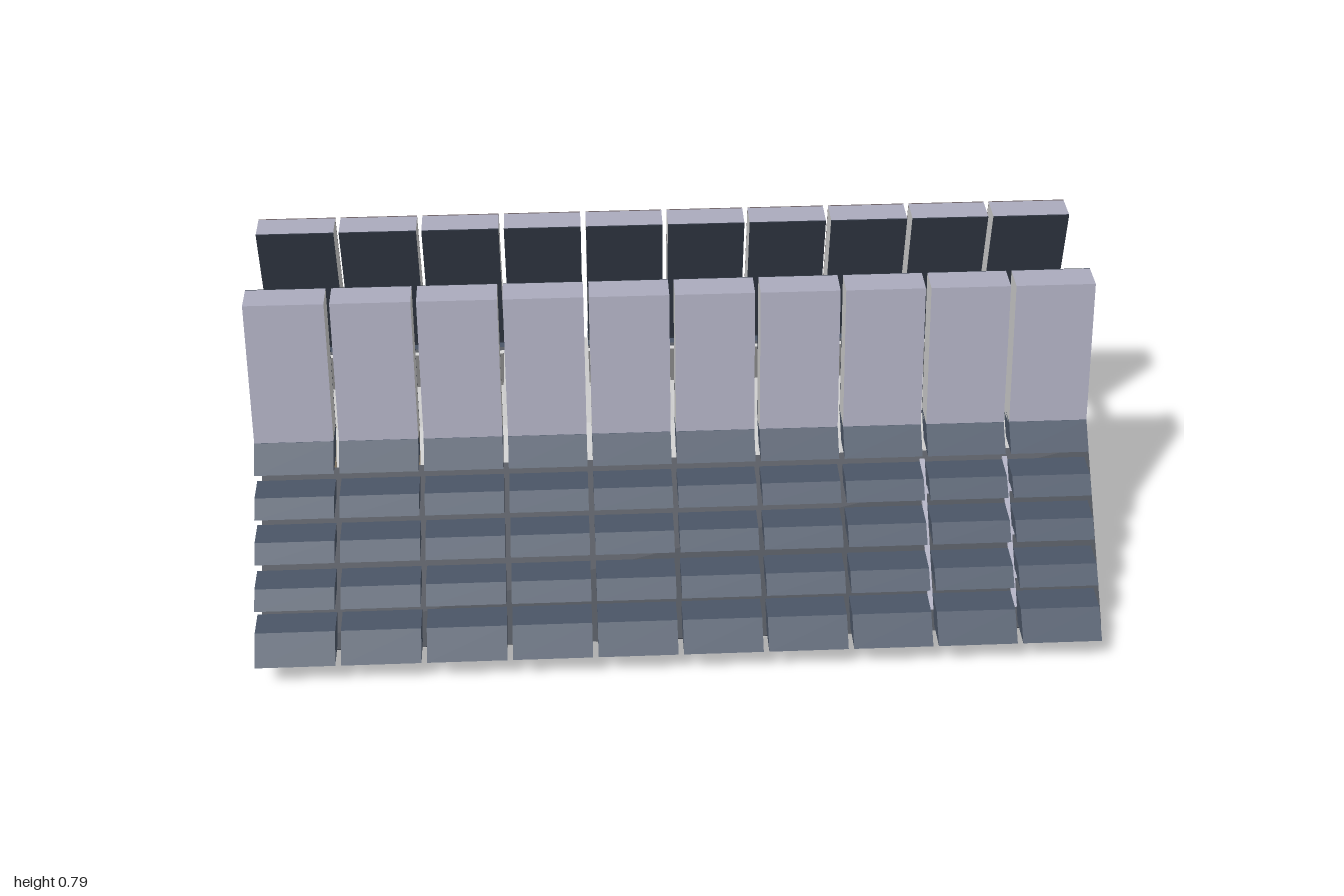
import * as THREE from 'three';

const mat = (name, color, side = THREE.FrontSide) => {
  const m = new THREE.MeshStandardMaterial({ color, side });
  m.name = name;
  return m;
};

export function createModel() {
  const slate = mat('slate', 0x4a5566);
  const dark = mat('dark slate', 0x2f3641);
  const pale = mat('pale grey', 0xcacaca);
  const lavender = mat('lavender grey', 0xaaaabc);
  const brown = mat('warm grey', 0x6a6064);
  const olive = mat('olive brown', 0x7a7060, THREE.DoubleSide);

  const model = new THREE.Group();
  const add = (name, geometry, material, parent = model) => {
    const mesh = new THREE.Mesh(geometry, material);
    mesh.name = name;
    parent.add(mesh);
    return mesh;
  };

  // Prism along x from a (z, y) profile; s = 1 front side, -1 back side
  const prism = (points, x0, x1, s = 1, holes = []) => {
    const shape = new THREE.Shape(points.map(([z, y]) => new THREE.Vector2(-z * s, y)));
    shape.holes = holes;
    const g = new THREE.ExtrudeGeometry(shape, { depth: x1 - x0, bevelEnabled: false, curveSegments: 6 });
    return g.rotateY(Math.PI / 2).translate(x0, 0, 0);
  };

  // Thin plate lying along the profile line p-q, t thick to its right side
  const plate = (p, q, t, x0, x1, s) => {
    const dz = q[0] - p[0], dy = q[1] - p[1], l = Math.hypot(dz, dy);
    const nz = (dy / l) * t, ny = (-dz / l) * t;
    return prism([p, q, [q[0] + nz, q[1] + ny], [p[0] + nz, p[1] + ny]], x0, x1, s);
  };

  const wallProfile = [[0.26, 0.44], [0.2, 0.79], [0.13, 0.79], [0.19, 0.43]];
  const slats = [
    [[0.315, 0.39], [0.26, 0.445], [0.19, 0.445], [0.19, 0.435], [0.24, 0.39]],
    [[0.39, 0.315], [0.35, 0.35], [0.28, 0.35], [0.28, 0.34], [0.31, 0.315]],
    [[0.465, 0.24], [0.425, 0.275], [0.355, 0.275], [0.355, 0.262], [0.385, 0.24]],
    [[0.545, 0.165], [0.505, 0.2], [0.435, 0.2], [0.435, 0.19], [0.465, 0.165]],
    [[0.635, 0.07], [0.575, 0.125], [0.505, 0.125], [0.505, 0.11], [0.55, 0.07]],
  ];
  const slopeTop = [0.25, 0.36], slopeFoot = [0.56, 0.055];

  for (const s of [1, -1]) {
    const side = new THREE.Group();
    side.name = s > 0 ? 'frontSide' : 'backSide';
    model.add(side);

    // Upright wall panels and rows of slats, ten bays long
    for (let i = 0; i < 10; i++) {
      const x0 = -1 + i * 0.2, x1 = x0 + 0.187;
      add('wallPanel', prism(wallProfile, x0, x1, s), [pale, lavender], side);
      if (s < 0) add('outerWallFace', plate(wallProfile[0], wallProfile[1], 0.003, x0, x1, s), brown, side);
      add('innerWallFace', plate(wallProfile[2], wallProfile[3], 0.003, x0, x1, s), dark, side);
      slats.forEach((p) => add('slat', prism(p, x0, x1, s), slate, side));
    }

    // Sloped backing, dark outside and pale inside
    add('slopeOuterSheet', plate(slopeFoot, slopeTop, 0.008, -0.99, 1, s), dark, side);
    add('slopeInnerSheet', plate(slopeTop, slopeFoot, 0.008, -0.99, 1, s), pale, side);

    // Pale streaks between the slats near one end
    [[0.32, 0.291, 0.58, 0.85], [0.395, 0.217, 0.62, 0.93], [0.47, 0.144, 0.77, 0.95]].forEach(([z, y, a, b]) =>
      add('slopeStreak', plate([z + 0.014, y + 0.002], [z, y + 0.016], 0.006, a, b, s), lavender, side));
    // Rafters showing in the last gaps
    for (const x of [0.587, 0.787])
      add('rafter', plate([0.53, 0.094], [0.27, 0.35], 0.011, x, x + 0.012, s), lavender, side);
  }

  // Pierced cross beams, one at every gap
  const beamProfile = [
    [0.25, 0.35], [0.19, 0.43], [-0.19, 0.43], [-0.25, 0.35], [-0.2, 0.36], [0.2, 0.36],
  ];
  const slots = [-0.145, -0.09, -0.03, 0.03, 0.09, 0.145].map((c, i) => {
    const w = i === 0 || i === 5 ? 0.018 : 0.025, h = 0.017, r = 0.009;
    const p = new THREE.Path();
    p.moveTo(c - w + r, 0.393 - h);
    p.lineTo(c + w - r, 0.393 - h);
    p.quadraticCurveTo(c + w, 0.393 - h, c + w, 0.393 - h + r);
    p.lineTo(c + w, 0.393 + h - r);
    p.quadraticCurveTo(c + w, 0.393 + h, c + w - r, 0.393 + h);
    p.lineTo(c - w + r, 0.393 + h);
    p.quadraticCurveTo(c - w, 0.393 + h, c - w, 0.393 + h - r);
    p.lineTo(c - w, 0.393 - h + r);
    p.quadraticCurveTo(c - w, 0.393 - h, c - w + r, 0.393 - h);
    return p;
  });
  for (let i = 0; i < 10; i++) {
    const x = -0.813 + i * 0.2;
    add('crossBeam', prism(beamProfile, x, x + 0.012, 1, slots), pale);
  }

  // Shallow curved floor sheet: half-width may vary along x
  const arcSheet = (x0, x1, half, lift, down) => {
    const g = new THREE.PlaneGeometry(x1 - x0, 2, 12, 16).rotateX(down ? Math.PI / 2 : -Math.PI / 2);
    g.translate((x0 + x1) / 2, 0, 0);
    const p = g.attributes.position;
    for (let i = 0; i < p.count; i++) {
      const z = p.getZ(i) * half(p.getX(i));
      p.setXYZ(i, p.getX(i), lift + 0.05 * (z / 0.56) ** 2, z);
    }
    g.computeVertexNormals();
    return g;
  };
  add('floorTop', arcSheet(-0.99, 1, () => 0.56, 0.004, false), pale);
  add('floorUnderside', arcSheet(-0.99, 1, () => 0.56, 0.003, true), dark);

  // Pale markings under the floor
  add('undersidePatch', arcSheet(0.27, 1, (x) => 0.18 + 0.35 * Math.max(0, (x - 0.27) / 0.73) ** 0.8, 0.0005, true), pale);
  for (let i = 0; i < 9; i++) {
    const g = new THREE.CircleGeometry(1, 20).rotateX(Math.PI / 2).scale(0.04, 1, 0.11);
    add('undersideSpot', g.translate(0.18 - i * 0.135, 0, -0.02), pale);
  }

  // Platform hung inside one end
  const platform = add('platform', new THREE.PlaneGeometry(0.37, 0.32).rotateX(-Math.PI / 2), olive);
  platform.position.set(-0.815, 0.2, 0);

  return model;
}
